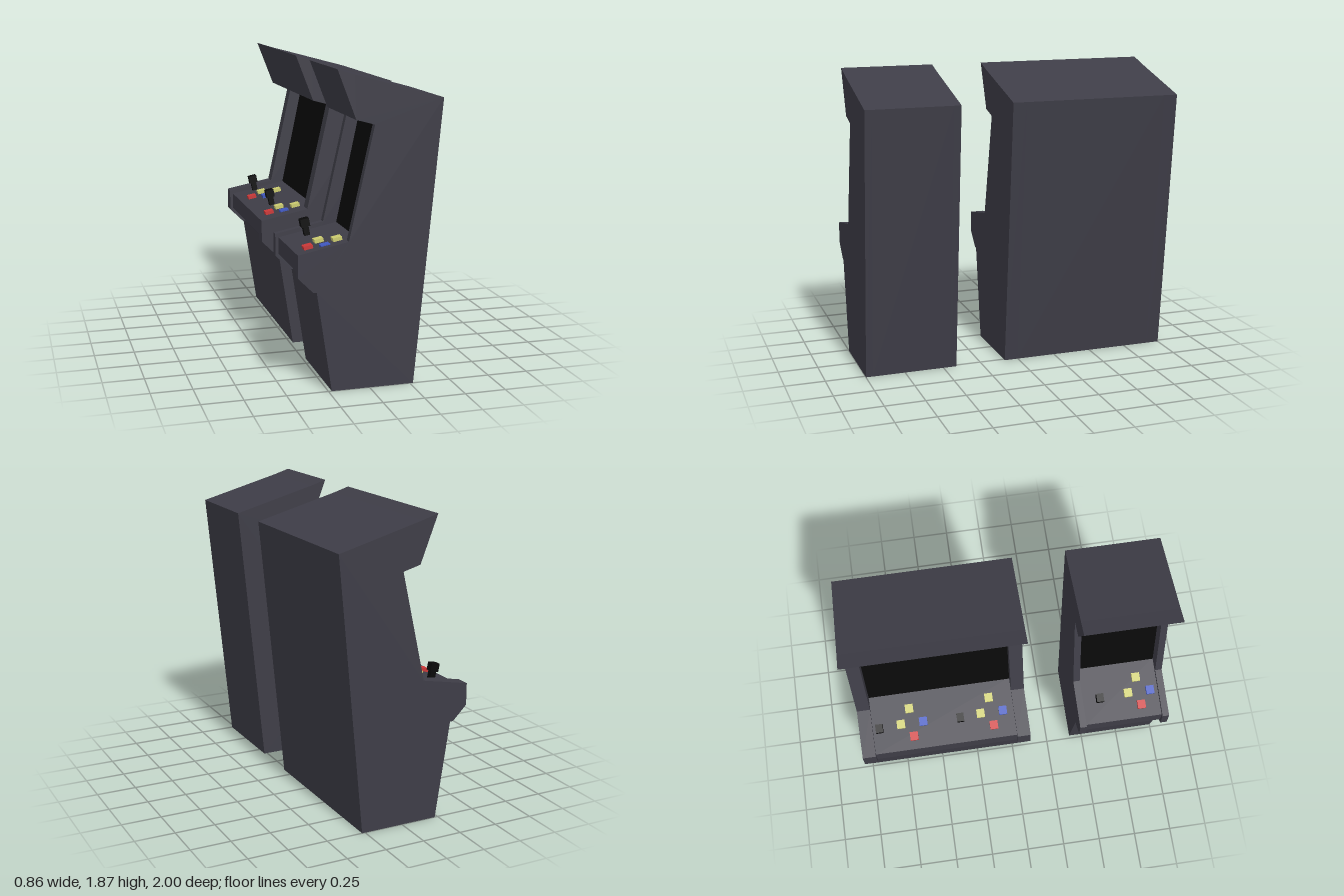
import * as THREE from 'three';

const material = (name, color) => {
  const m = new THREE.MeshStandardMaterial({ color });
  m.name = name;
  return m;
};

// Outer side panel outline (x, y); the cabinets face -x
const SIDE = [[-0.23, 0], [0.27, 0], [0.43, 1.69], [-0.1, 1.834], [-0.2, 1.865], [-0.09, 1.58],
  [0.02, 1.55], [-0.13, 0.885], [-0.43, 0.825], [-0.43, 0.69], [-0.34, 0.6], [-0.32, 0.6]];
// Body between the sides: recessed screen and sunken control deck
const CORE = [[-0.23, 0], [0.27, 0], [0.43, 1.69], [-0.1, 1.834], [-0.2, 1.865], [-0.09, 1.58],
  [0.1, 1.53], [-0.04, 0.878], [-0.41, 0.804], [-0.41, 0.7], [-0.325, 0.61], [-0.32, 0.6]];
const SLOPE = Math.atan(0.2);
const deckY = (x) => 0.886 + 0.2 * x;

export function createModel() {
  const cabinetMat = material('cabinet charcoal', 0x3e3d47);
  const blackMat = material('black', 0x090909);
  const redMat = material('button red', 0xcc3838);
  const blueMat = material('button blue', 0x4058c0);
  const yellowMat = material('button yellow', 0xcccc70);

  const mesh = (name, geometry, mat, parent) => {
    const m = new THREE.Mesh(geometry, mat);
    m.name = name;
    parent.add(m);
    return m;
  };

  // Extrudes an outline from z0 to z1
  const slab = (name, outline, z0, z1, mat, parent) => {
    const shape = new THREE.Shape(outline.map(([x, y]) => new THREE.Vector2(x, y)));
    const geometry = new THREE.ExtrudeGeometry(shape, { depth: z1 - z0, bevelEnabled: false });
    mesh(name, geometry, mat, parent).position.z = z0;
  };

  // Group standing square on the sloped control deck
  const onDeck = (name, x, z, parent) => {
    const g = new THREE.Group();
    g.name = name;
    g.position.set(x, deckY(x), z);
    g.rotation.z = SLOPE;
    parent.add(g);
    return g;
  };

  // Stick and a diamond of four buttons
  const addControls = (stickZ, buttonZ, parent) => {
    const stick = onDeck('joystick', -0.26, stickZ, parent);
    mesh('joystickShaft', new THREE.BoxGeometry(0.034, 0.08, 0.034), blackMat, stick).position.y = 0.035;
    mesh('joystickKnob', new THREE.BoxGeometry(0.054, 0.05, 0.046), blackMat, stick).position.y = 0.08;
    const buttons = [
      ['frontRedButton', -0.328, 0, redMat],
      ['sideYellowButton', -0.243, -0.075, yellowMat],
      ['sideBlueButton', -0.243, 0.07, blueMat],
      ['rearYellowButton', -0.15, -0.01, yellowMat],
    ];
    for (const [name, x, dz, mat] of buttons) {
      const b = onDeck(name, x, buttonZ + dz, parent);
      mesh(name, new THREE.BoxGeometry(0.055, 0.04, 0.052), mat, b).position.y = 0.002;
    }
  };

  const addCabinet = (name, z0, z1, wall, controls, parent) => {
    const cabinet = new THREE.Group();
    cabinet.name = name;
    slab('rightSidePanel', SIDE, z0, z0 + wall, cabinetMat, cabinet);
    slab('leftSidePanel', SIDE, z1 - wall, z1, cabinetMat, cabinet);
    slab('cabinetBody', CORE, z0 + wall, z1 - wall, cabinetMat, cabinet);
    // Thin screen plate over the recessed face
    slab('screen', [[-0.04, 0.878], [0.1, 1.53], [0.094, 1.532], [-0.046, 0.877]],
      z0 + wall, z1 - wall, blackMat, cabinet);
    for (const [stickZ, buttonZ] of controls) addControls(stickZ, buttonZ, cabinet);
    parent.add(cabinet);
  };

  const model = new THREE.Group();
  model.name = 'arcadeCabinets';
  addCabinet('wideCabinet', -1, 0.09, 0.085, [[-0.867, -0.655], [-0.345, -0.136]], model);
  addCabinet('narrowCabinet', 0.415, 1, 0.043, [[0.563, 0.834]], model);
  return model;
}
